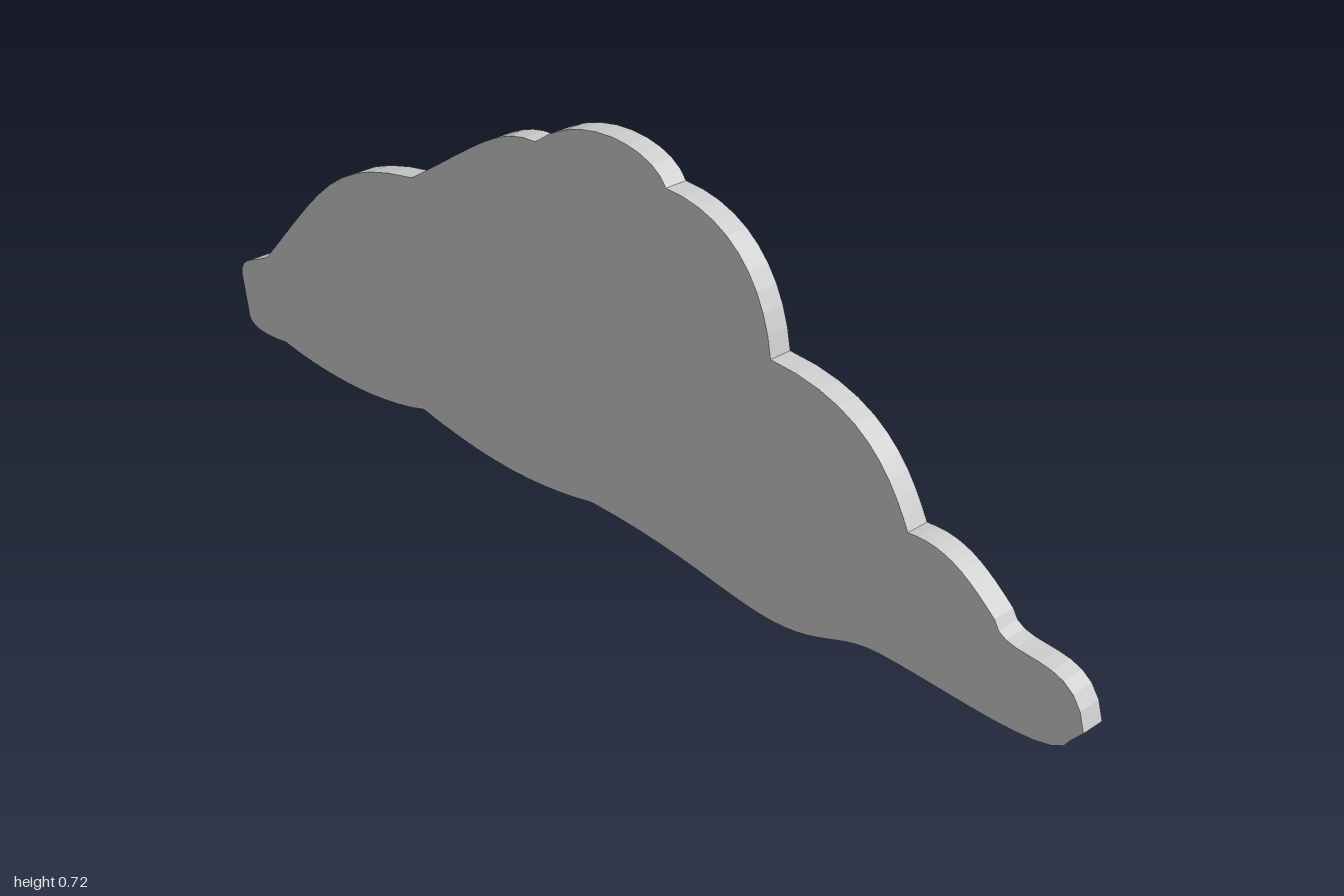
import * as THREE from 'three';

const DEPTH = 0.044;

// Each lobe is one cubic: two controls, then the end point, a sharp corner where lobes meet.
const topLobes = [
  [-1, 0.18, -0.94, 0.18, -0.91, 0.205], // left end
  [-0.73, 0.4, -0.69, 0.47, -0.47, 0.5], // long left slope
  [-0.31, 0.6, -0.24, 0.665, -0.15, 0.661], // upper left puff
  [-0.04, 0.75, 0.12, 0.73, 0.15, 0.672], // crown
  [0.28, 0.67, 0.36, 0.59, 0.378, 0.46], // puffs stepping down to the right
  [0.57, 0.455, 0.625, 0.355, 0.662, 0.278],
  [0.73, 0.285, 0.77, 0.26, 0.83, 0.205],
  [0.85, 0.14, 0.98, 0.22, 1, 0.092], // right tip
];
const undersideLobes = [
  [0.96, 0.01, 0.75, 0.045, 0.62, 0.045],
  [0.54, 0.045, 0.5, 0, 0.4, 0],
  [0.3, 0, 0.2, 0.04, -0.02, 0.042],
  [-0.15, 0.015, -0.28, 0.012, -0.46, 0.05],
  [-0.57, 0.016, -0.73, 0.01, -0.87, 0.037],
  [-0.96, 0.025, -0.985, 0.04, -0.985, 0.06],
];

export function createModel() {
  const shape = new THREE.Shape();
  shape.moveTo(-1, 0.14);
  for (const lobe of topLobes) shape.bezierCurveTo(...lobe);
  shape.lineTo(0.98, 0.07);
  for (const lobe of undersideLobes) shape.bezierCurveTo(...lobe);
  shape.closePath();

  // Flat slab cut to the outline, centred in depth
  const geometry = new THREE.ExtrudeGeometry(shape, { depth: DEPTH, bevelEnabled: false, curveSegments: 10 });
  geometry.translate(0, 0, -DEPTH / 2);

  const cloud = new THREE.Mesh(
    geometry,
    new THREE.MeshStandardMaterial({ color: 0xcccccc, flatShading: true })
  );
  cloud.name = 'cloudPanel';

  const group = new THREE.Group();
  group.name = 'cloud';
  group.add(cloud);
  return group;
}
